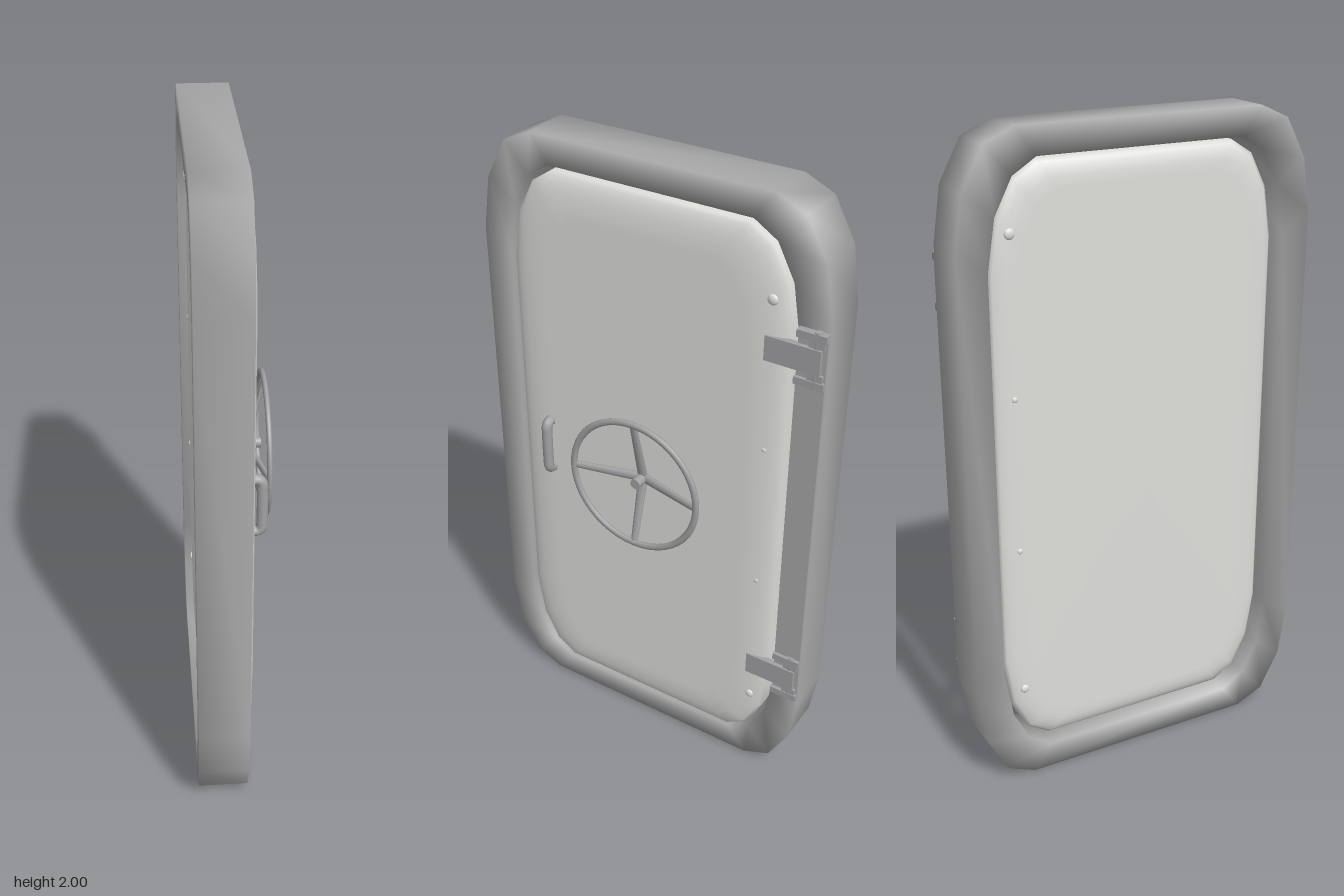
import * as THREE from 'three';

const mat = (name, color) => {
  const m = new THREE.MeshStandardMaterial({ color });
  m.name = name;
  return m;
};

// Quarter outlines (half width, half height), mirrored into full loops
const OUTER = [[0.56, 0.68], [0.535, 0.84], [0.47, 0.96], [0.38, 1.0]];
const INNER = [[0.47, 0.62], [0.445, 0.77], [0.392, 0.872], [0.32, 0.917]];
const PANEL = [[0.455, 0.61], [0.431, 0.76], [0.38, 0.86], [0.31, 0.904]];

function loop(quarter) {
  const rev = [...quarter].reverse();
  return [
    ...quarter,
    ...rev.map(([u, v]) => [-u, v]),
    ...quarter.map(([u, v]) => [-u, -v]),
    ...rev.map(([u, v]) => [u, -v]),
  ];
}

// Joins rings { x, pts } into one smooth surface
function loft(rings, closed = false) {
  const pos = [], idx = [], n = rings[0].pts.length;
  rings.forEach(r => r.pts.forEach(([u, v]) => pos.push(r.x, v + 1, -u)));
  const spans = closed ? rings.length : rings.length - 1;
  for (let k = 0; k < spans; k++) {
    const p = k * n, q = ((k + 1) % rings.length) * n;
    for (let i = 0; i < n; i++) {
      const j = (i + 1) % n;
      idx.push(p + i, p + j, q + j, p + i, q + j, q + i);
    }
  }
  const g = new THREE.BufferGeometry();
  g.setAttribute('position', new THREE.Float32BufferAttribute(pos, 3));
  g.setIndex(idx);
  g.computeVertexNormals();
  return g;
}

export function createModel() {
  const root = new THREE.Group();
  root.name = 'hatchDoor';
  const frameMat = mat('frameGrey', 0xa9a9a9);
  const panelMat = mat('panelOffWhite', 0xdededb);
  const metalMat = mat('fittingGrey', 0xa2a2a4);

  const add = (parent, name, geo, m, x = 0, y = 0, z = 0) => {
    const mesh = new THREE.Mesh(geo, m);
    mesh.name = name;
    mesh.position.set(x, y, z);
    parent.add(mesh);
    return mesh;
  };
  const group = (name, x, y, z) => {
    const g = new THREE.Group();
    g.name = name;
    g.position.set(x, y, z);
    root.add(g);
    return g;
  };

  // Surrounding frame, softly shaded across its edges
  const o = loop(OUTER), i = loop(INNER);
  add(root, 'frame', loft([
    { x: -0.12, pts: o }, { x: 0.033, pts: o }, { x: 0.033, pts: i }, { x: -0.12, pts: i },
  ], true), frameMat);

  // Thick door panel, rounded over on both faces: [x, inset]
  const profile = [
    [-0.098, 0.455], [-0.098, 0.08], [-0.097, 0.05], [-0.092, 0.028], [-0.084, 0.01], [-0.074, 0],
    [0.03, 0], [0.037, 0.008], [0.044, 0.024], [0.05, 0.048], [0.0545, 0.085], [0.055, 0.12], [0.055, 0.455],
  ];
  add(root, 'doorPanel', loft(profile.map(([x, d]) => ({
    x, pts: loop(PANEL).map(([u, v]) => d === 0.455 ? [0, 0] : [u * (1 - d / 0.455), v * (1 - d / 0.905)]),
  }))), panelMat);

  // Hand wheel: rim, hub and four sloping spokes
  const wheel = group('handWheel', 0, 1.005, 0);
  const rim = add(wheel, 'wheelRim', new THREE.TorusGeometry(0.217, 0.011, 10, 48), metalMat, 0.112);
  rim.rotation.y = Math.PI / 2;
  rim.scale.z = 0.75;
  const hub = add(wheel, 'wheelHub', new THREE.CylinderGeometry(0.017, 0.017, 0.055, 16), metalMat, 0.077);
  hub.rotation.z = -Math.PI / 2;
  const from = new THREE.Vector3(0.06, 0.006, 0), to = new THREE.Vector3(0.111, 0.214, 0);
  const dir = to.clone().sub(from);
  for (let k = 0; k < 4; k++) {
    const arm = new THREE.Group();
    arm.name = 'wheelSpoke';
    arm.rotation.x = k * Math.PI / 2;
    wheel.add(arm);
    const spoke = add(arm, 'spokeBar', new THREE.CylinderGeometry(0.012, 0.017, dir.length(), 10), metalMat);
    spoke.position.copy(from).add(to).multiplyScalar(0.5);
    spoke.quaternion.setFromUnitVectors(new THREE.Vector3(0, 1, 0), dir.clone().normalize());
    spoke.scale.x = 0.6;
  }

  // Pull handle
  const path = new THREE.CatmullRomCurve3([
    [0.045, -0.086], [0.066, -0.086], [0.076, -0.076], [0.078, -0.05],
    [0.078, 0.05], [0.076, 0.076], [0.066, 0.086], [0.045, 0.086],
  ].map(([x, y]) => new THREE.Vector3(x, y, 0)), false, 'centripetal');
  const handle = group('pullHandle', 0, 1.003, 0.342);
  add(handle, 'handleBar', new THREE.TubeGeometry(path, 40, 0.0165, 10), metalMat);

  // Raised strip on the frame between the hinges
  add(root, 'hingeStrip', new THREE.BoxGeometry(0.03, 1.3, 0.086), frameMat, 0.029, 1, -0.515);

  // Hinges on the -z edge
  for (const y of [1.572, 0.43]) {
    const hinge = group('hinge', 0, y, 0);
    add(hinge, 'hingeStrap', new THREE.BoxGeometry(0.02, 0.075, 0.165), metalMat, 0.047, 0, -0.463);
    add(hinge, 'hingePin', new THREE.CylinderGeometry(0.011, 0.011, 0.17, 12), metalMat, 0.043, 0, -0.53);
    for (const s of [-1, 1]) {
      add(hinge, 'hingeBracket', new THREE.BoxGeometry(0.03, 0.022, 0.088), metalMat, 0.04, s * 0.071, -0.514);
      add(hinge, 'hingeLug', new THREE.BoxGeometry(0.026, 0.02, 0.045), metalMat, 0.04, s * 0.049, -0.53);
    }
  }

  // Rivets along the hinge side, showing on both faces
  for (const [y, r] of [[1.715, 0.016], [1.245, 0.009], [0.77, 0.009], [0.295, 0.014]]) {
    for (const x of [0.049, -0.097]) {
      const rivet = add(root, 'rivet', new THREE.SphereGeometry(r, 12, 8), panelMat, x, y, -0.395);
      rivet.scale.x = 0.5;
    }
  }

  return root;
}
